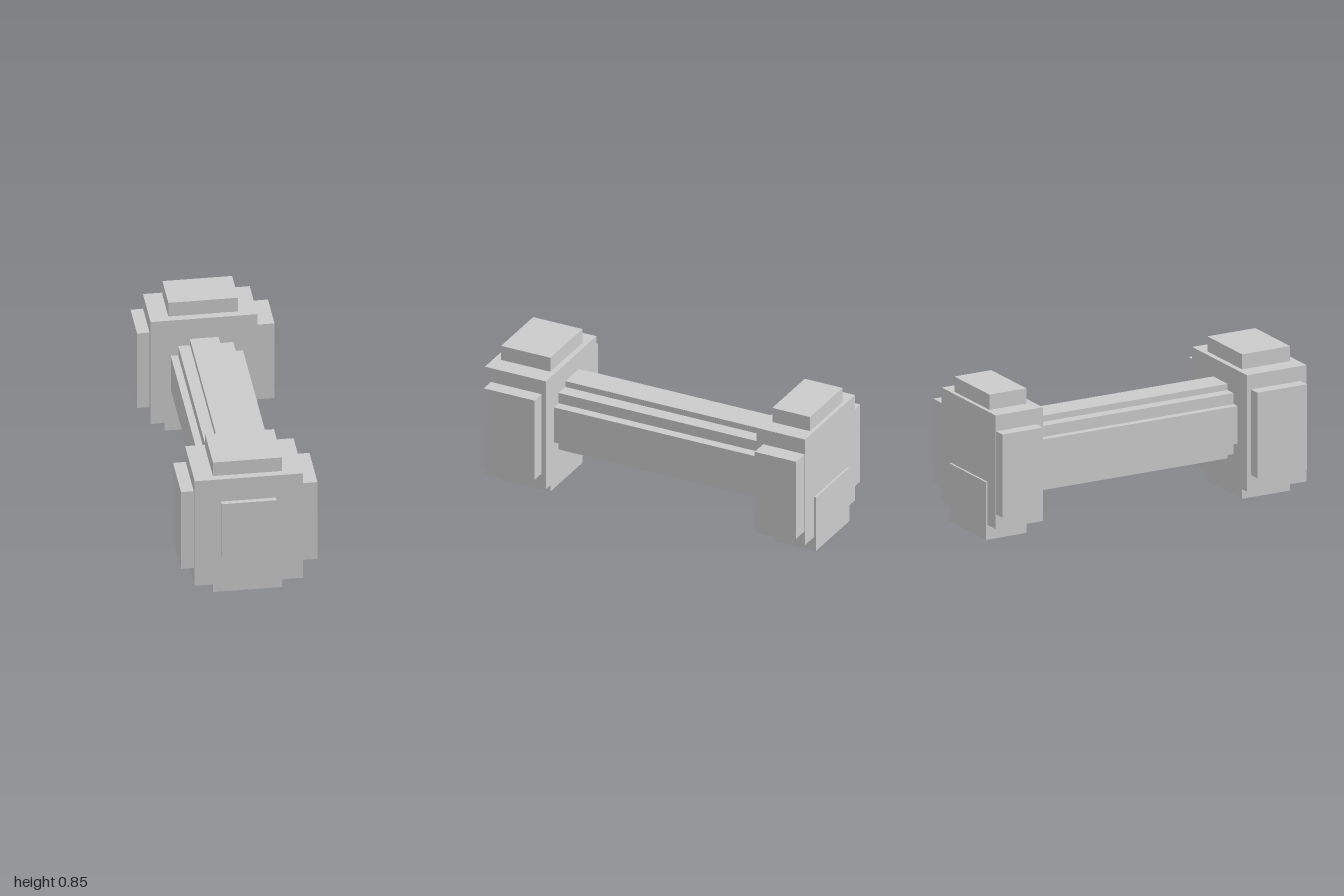
import * as THREE from 'three';

export function createModel() {
  const model = new THREE.Group();
  const material = new THREE.MeshStandardMaterial({ color: 0xcccccc, flatShading: true });

  // Box given by its extents along each axis
  function block(name, [x0, x1], [y0, y1], [z0, z1], parent) {
    const mesh = new THREE.Mesh(new THREE.BoxGeometry(x1 - x0, y1 - y0, z1 - z0), material);
    mesh.position.set((x0 + x1) / 2, (y0 + y1) / 2, (z0 + z1) / 2);
    mesh.name = name;
    parent.add(mesh);
  }

  function part(name) {
    const group = new THREE.Group();
    group.name = name;
    model.add(group);
    return group;
  }

  // Handle: three crossed bars; the core pokes out of the front weight
  const handle = part('handle');
  block('handleCore', [-0.16, 0.143], [0.25, 0.598], [-0.682, 1], handle);
  block('handleTallBar', [-0.095, 0.063], [0.208, 0.633], [-0.7, 0.62], handle);
  block('handleWideBar', [-0.2, 0.198], [0.32, 0.535], [-0.7, 0.62], handle);

  // Front weight: main block with plates showing at the sides, top and bottom
  const front = part('frontWeight');
  block('frontBlock', [-0.304, 0.293], [0.074, 0.739], [0.597, 0.971], front);
  block('frontSidePlates', [-0.374, 0.377], [0.165, 0.654], [0.623, 0.934], front);
  block('frontTopBottomPlates', [-0.198, 0.181], [0, 0.825], [0.628, 0.93], front);

  // Back weight: its bottom plate stands slightly proud of the back face
  const back = part('backWeight');
  block('backBlock', [-0.311, 0.277], [0.11, 0.759], [-0.988, -0.69], back);
  block('backSidePlates', [-0.38, 0.377], [0.193, 0.668], [-0.984, -0.73], back);
  block('backTopPlate', [-0.207, 0.177], [0.5, 0.846], [-0.966, -0.734], back);
  block('backBottomPlate', [-0.226, 0.172], [0.027, 0.357], [-1, -0.745], back);

  return model;
}
